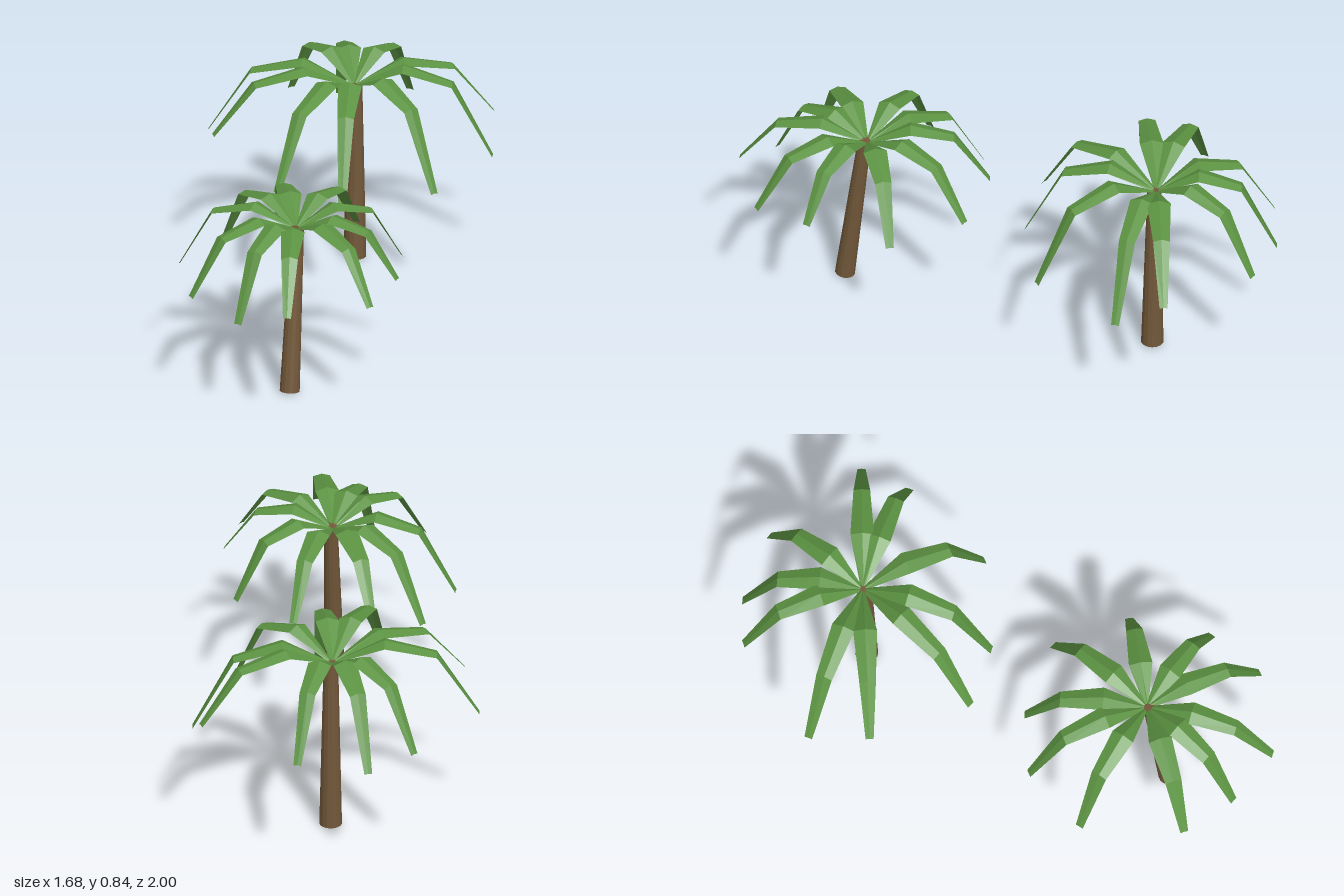
import * as THREE from 'three';

const leafGreen = new THREE.MeshStandardMaterial({ name: 'leafGreen', color: 0x5c9342, flatShading: true, side: THREE.DoubleSide });
const barkBrown = new THREE.MeshStandardMaterial({ name: 'barkBrown', color: 0x72583a, flatShading: true });

// Tapered trunk between two points
function makeTrunk(base, top, rBase, rTop) {
  const a = new THREE.Vector3(...base), b = new THREE.Vector3(...top);
  const dir = b.clone().sub(a);
  const trunk = new THREE.Mesh(new THREE.CylinderGeometry(rTop, rBase, dir.length(), 14), barkBrown);
  trunk.position.copy(a).add(b).multiplyScalar(0.5);
  trunk.quaternion.setFromUnitVectors(new THREE.Vector3(0, 1, 0), dir.normalize());
  trunk.name = 'trunk';
  return trunk;
}

// Drooping frond: a ridged strip through root, shoulder, bend and tip
function makeFrond(dx, dz, tipY, shoulderY, rootY) {
  const r = Math.hypot(dx, dz), ux = dx / r, uz = dz / r;
  const bendY = shoulderY - 0.17 * (shoulderY - tipY);
  // [distance, ridge height, half width, ridge depth]
  const sections = [
    [0, rootY, 0.006, 0.004],
    [r * 0.355, shoulderY, 0.047, 0.016],
    [r * 0.71, bendY, 0.033, 0.01],
    [r, tipY, 0.016, 0.003],
  ].map(([d, y, w, drop]) => [-1, 0, 1].map((s) => [
    ux * d + uz * w * s, y - drop * Math.abs(s), uz * d - ux * w * s,
  ]));
  const pos = [];
  for (let i = 0; i < 3; i++) {
    for (let j = 0; j < 2; j++) {
      const a = sections[i][j], b = sections[i][j + 1];
      const c = sections[i + 1][j + 1], d = sections[i + 1][j];
      pos.push(...a, ...d, ...c, ...a, ...c, ...b);
    }
  }
  // Wind the strip so its outside faces up
  const geo = new THREE.BufferGeometry();
  geo.setAttribute('position', new THREE.Float32BufferAttribute(pos, 3));
  geo.computeVertexNormals();
  if (geo.attributes.normal.getY(0) < 0) {
    const p = geo.attributes.position;
    for (let t = 0; t < p.count; t += 3) {
      const b = new THREE.Vector3().fromBufferAttribute(p, t + 1);
      const c = new THREE.Vector3().fromBufferAttribute(p, t + 2);
      p.setXYZ(t + 1, c.x, c.y, c.z);
      p.setXYZ(t + 2, b.x, b.y, b.z);
    }
    geo.computeVertexNormals();
  }
  const frond = new THREE.Mesh(geo, leafGreen);
  frond.name = 'frond';
  return frond;
}

function makePalm({ name, base, top, rBase, rTop, crown, rootY, shoulderY, tips }) {
  const palm = new THREE.Group();
  palm.name = name;
  palm.add(makeTrunk(base, top, rBase, rTop));
  const fronds = new THREE.Group();
  fronds.name = 'fronds';
  fronds.position.set(crown[0], 0, crown[1]);
  for (const [x, z, y] of tips) fronds.add(makeFrond(x, z, y, shoulderY, rootY));
  palm.add(fronds);
  return palm;
}

export function createModel() {
  const model = new THREE.Group();
  model.name = 'palmTrees';
  // Tall upright palm at the back; tips are [x, z, height] from the crown
  model.add(makePalm({
    name: 'tallPalm',
    base: [0.28, 0.007, -0.492], top: [0.284, 0.745, -0.5], rBase: 0.045, rTop: 0.029,
    crown: [0.283, -0.508], rootY: 0.74, shoulderY: 0.838,
    tips: [
      [-0.074, -0.49, 0.535], [0.122, -0.46, 0.49], [0.36, -0.312, 0.53], [0.556, 0.09, 0.58],
      [0.481, 0.27, 0.47], [0.138, 0.513, 0.465], [-0.238, 0.476, 0.465], [-0.466, 0.354, 0.505],
      [-0.571, -0.069, 0.59], [-0.497, -0.302, 0.51],
    ],
  }));
  // Shorter leaning palm at the front
  model.add(makePalm({
    name: 'leaningPalm',
    base: [-0.425, 0.006, 0.596], top: [-0.367, 0.677, 0.53], rBase: 0.04, rTop: 0.027,
    crown: [-0.368, 0.519], rootY: 0.67, shoulderY: 0.752,
    tips: [
      [-0.111, -0.492, 0.433], [0.111, -0.471, 0.5], [0.381, -0.312, 0.5], [0.45, 0.005, 0.475],
      [0.307, 0.312, 0.53], [0.127, 0.475, 0.507], [-0.222, 0.466, 0.515], [-0.36, 0.286, 0.435],
      [-0.473, 0.069, 0.48], [-0.365, -0.333, 0.435],
    ],
  }));
  return model;
}
